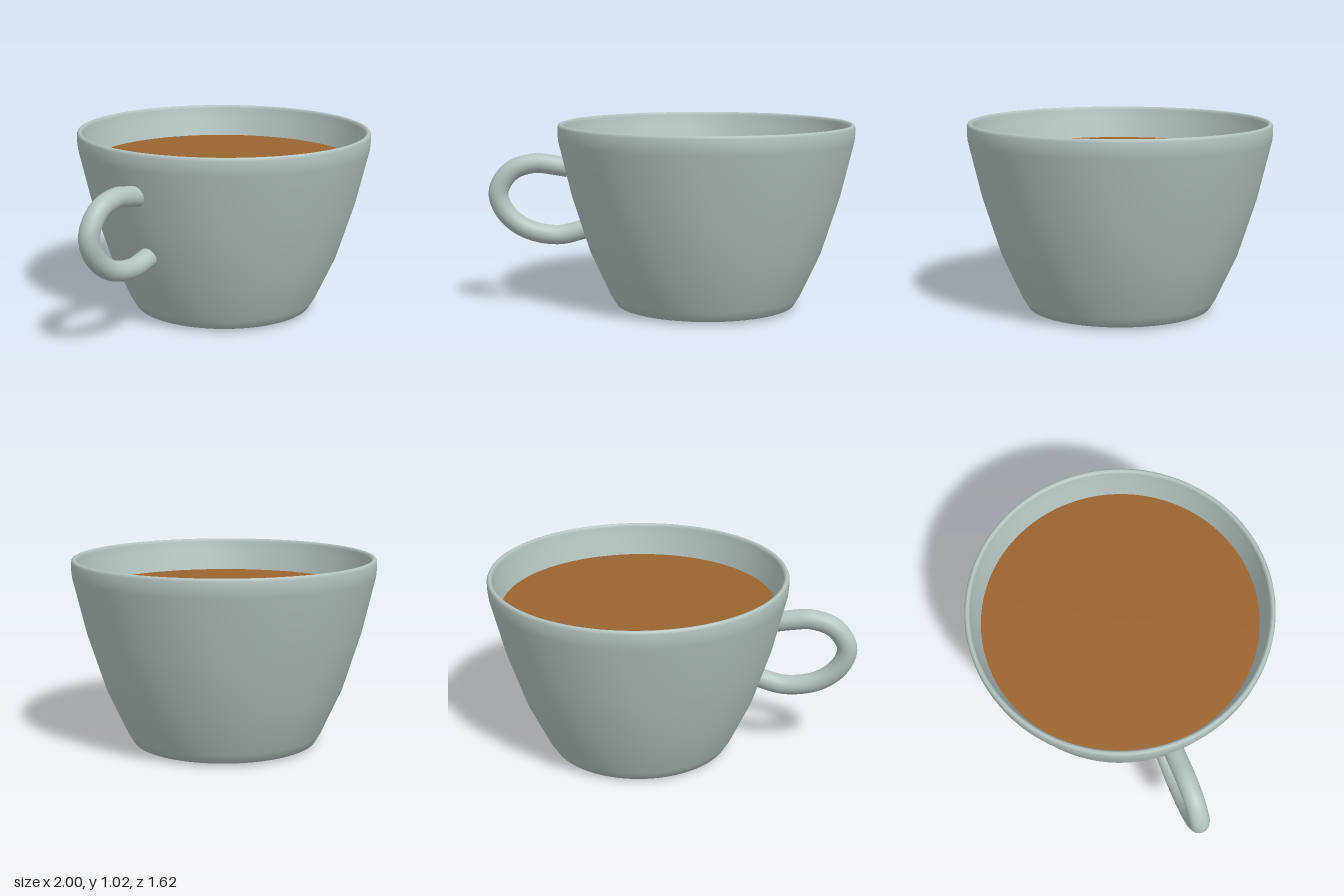
import * as THREE from 'three';

const CUP_X = 0.19; // axis of the cup body

export function createModel() {
  const model = new THREE.Group();
  model.name = 'cup';

  const ceramic = new THREE.MeshStandardMaterial({ color: 0xb3c2c0 });
  ceramic.name = 'pale grey ceramic';
  const coffee = new THREE.MeshStandardMaterial({ color: 0x9a6430 });
  coffee.name = 'brown coffee';

  const add = (name, geometry, material, x = 0, y = 0) => {
    const mesh = new THREE.Mesh(geometry, material);
    mesh.name = name;
    mesh.position.set(x, y, 0);
    model.add(mesh);
    return mesh;
  };

  // Body: up the outer wall, over the rounded rim, down the inner wall to the floor
  const profile = [
    [0, 0], [0.40, 0], [0.42, 0.002], [0.495, 0.018], [0.527, 0.07],
    [0.637, 0.31], [0.735, 0.62], [0.806, 0.92], [0.81, 0.96],
    [0.81, 1.0], [0.804, 1.013], [0.795, 1.016], [0.786, 1.013], [0.78, 1.0],
    [0.775, 0.95], [0.742, 0.84], [0.69, 0.62], [0.595, 0.31],
    [0.50, 0.10], [0.46, 0.06], [0.40, 0.05], [0, 0.05],
  ].map(([r, y]) => new THREE.Vector2(r, y));
  add('body', new THREE.LatheGeometry(profile, 96), ceramic, CUP_X);

  // Coffee surface
  const surface = new THREE.CircleGeometry(0.742, 96).rotateX(-Math.PI / 2);
  add('coffee', surface, coffee, CUP_X, 0.84);

  // Handle: a round tube whose ends sink into the wall
  const path = new THREE.CatmullRomCurve3([
    [-0.565, 0.775], [-0.65, 0.79], [-0.74, 0.80], [-0.86, 0.767], [-0.93, 0.69],
    [-0.945, 0.62], [-0.90, 0.52], [-0.79, 0.436], [-0.62, 0.403], [-0.465, 0.437],
  ].map(([x, y]) => new THREE.Vector3(x, y, 0)));
  add('handle', new THREE.TubeGeometry(path, 64, 0.054, 20), ceramic);

  return model;
}
